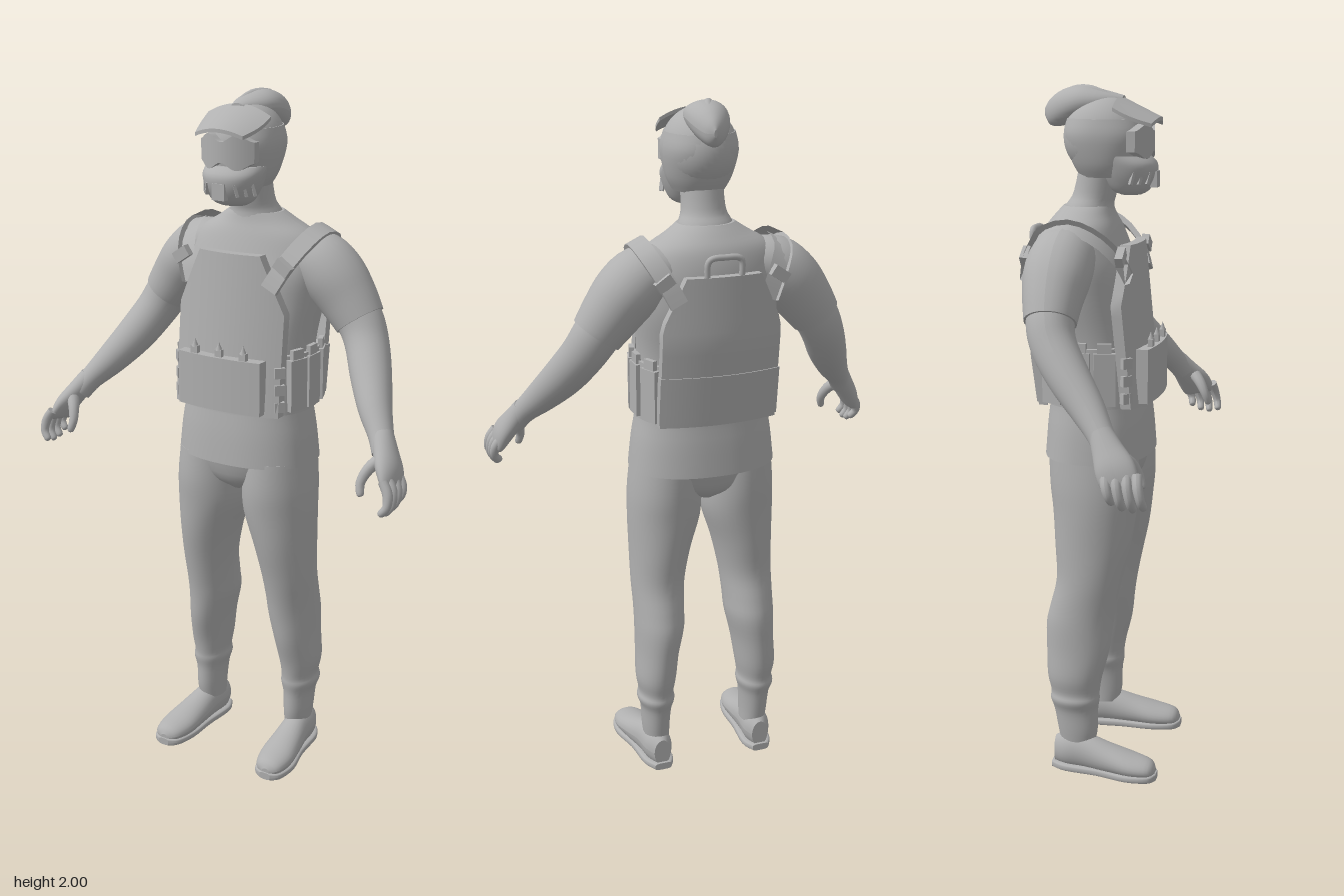
import * as THREE from 'three';

const gray = new THREE.MeshStandardMaterial({ color: 0xb0b0b0 });
gray.name = 'plain grey';
const V = (x, y, z) => new THREE.Vector3(x, y, z);
const UP = V(0, 1, 0), FWD = V(0, 0, 1);

// Smoothly lofts rows of [x, y, z, radiusU, radiusV, squareness]; x is mirrored by side
function loft(rows, { side = 1, ref = FWD, axis = null, seg = 28, steps = 4 } = {}) {
  const at = (i, k) => {
    const v = rows[Math.min(Math.max(i, 0), rows.length - 1)][k] ?? 2;
    return k === 0 ? v * side : v;
  };
  const rings = [];
  for (let s = 0; s <= (rows.length - 1) * steps; s++) {
    const i = Math.min(Math.floor(s / steps), rows.length - 2), f = s / steps - i;
    rings.push([0, 1, 2, 3, 4, 5].map((k) => {
      const a = at(i - 1, k), b = at(i, k), c = at(i + 1, k), d = at(i + 2, k);
      return b + 0.5 * f * (c - a + f * (2 * a - 5 * b + 4 * c - d + f * (3 * (b - c) + d - a)));
    }));
  }
  const pos = [], idx = [], n = seg + 1;
  const centre = (r) => V(r[0], r[1], r[2]);
  rings.forEach((r, i) => {
    const t = axis ? axis.clone() : centre(rings[Math.min(i + 1, rings.length - 1)])
      .sub(centre(rings[Math.max(i - 1, 0)])).normalize();
    const u = t.clone().cross(ref).normalize(), v = u.clone().cross(t);
    for (let j = 0; j < n; j++) {
      const a = (j % seg) / seg * Math.PI * 2, e = 2 / r[5];
      const c = Math.cos(a), q = Math.sin(a);
      const p = centre(r)
        .addScaledVector(u, Math.max(r[3], 0.001) * Math.sign(c) * Math.abs(c) ** e)
        .addScaledVector(v, Math.max(r[4], 0.001) * Math.sign(q) * Math.abs(q) ** e);
      pos.push(p.x, p.y, p.z);
    }
  });
  for (let i = 0; i < rings.length - 1; i++) for (let j = 0; j < seg; j++) {
    const a = i * n + j, b = a + 1, c = a + n, d = c + 1;
    idx.push(a, c, b, b, c, d);
  }
  // Flat end caps with their own vertices
  for (const i of [0, rings.length - 1]) {
    const base = pos.length / 3;
    pos.push(...rings[i].slice(0, 3));
    for (let j = 0; j < n; j++) pos.push(...pos.slice((i * n + j) * 3, (i * n + j) * 3 + 3));
    for (let j = 1; j <= seg; j++) i ? idx.push(base, base + j + 1, base + j) : idx.push(base, base + j, base + j + 1);
  }
  const g = new THREE.BufferGeometry();
  g.setAttribute('position', new THREE.Float32BufferAttribute(pos, 3));
  g.setIndex(idx);
  g.computeVertexNormals();
  return g;
}

// Bends a thin box by a rule from (u, v, depth), each in -0.5..0.5, to a point
function bent(rule) {
  const g = new THREE.BoxGeometry(1, 1, 1, 20, 14, 1), p = g.attributes.position;
  for (let i = 0; i < p.count; i++) p.setXYZ(i, ...rule(p.getX(i), p.getY(i), p.getZ(i)));
  g.computeVertexNormals();
  return g;
}

export function createModel() {
  const model = new THREE.Group();
  const add = (name, geo, parent = model) => {
    const m = new THREE.Mesh(geo, gray);
    m.name = name;
    parent.add(m);
    return m;
  };
  const box = (name, w, h, d, x, y, z, ry = 0) => {
    const m = add(name, new THREE.BoxGeometry(w, h, d));
    m.position.set(x, y, z);
    m.rotation.y = ry;
    return m;
  };

  // Shirt, neck and hips
  add('shirt', loft([[0, 0.96, -0.035, 0.215, 0.155, 2.3], [0, 1.05, -0.035, 0.205, 0.148, 2.3],
    [0, 1.15, -0.037, 0.19, 0.138, 2.3], [0, 1.3, -0.05, 0.19, 0.138, 2.3], [0, 1.42, -0.07, 0.205, 0.14, 2.3],
    [0, 1.5, -0.075, 0.212, 0.135, 2.2], [0, 1.56, -0.083, 0.21, 0.122], [0, 1.61, -0.085, 0.178, 0.105],
    [0, 1.645, -0.08, 0.12, 0.085], [0, 1.67, -0.072, 0.082, 0.07]], { axis: UP, seg: 48 }));
  add('neck', loft([[0, 1.62, -0.075, 0.1, 0.085], [0, 1.67, -0.068, 0.076, 0.068], [0, 1.71, -0.052, 0.062, 0.061],
    [0, 1.82, -0.03, 0.06, 0.06]], { axis: UP }));
  add('trouserHips', loft([[0, 0.86, -0.03, 0.03, 0.07], [0, 0.9, -0.03, 0.15, 0.115], [0, 0.98, -0.032, 0.2, 0.14]],
    { axis: UP, seg: 40 }));

  for (const side of [1, -1]) {
    const at = { side }, up = { side, axis: UP };
    // Trouser leg with loose folds towards the cuff
    add('trouserLeg', loft([[0.158, 0.085, -0.07, 0.038, 0.052], [0.16, 0.13, -0.07, 0.041, 0.06],
      [0.16, 0.19, -0.075, 0.045, 0.066], [0.161, 0.225, -0.078, 0.055, 0.074], [0.16, 0.25, -0.077, 0.051, 0.073],
      [0.16, 0.3, -0.078, 0.059, 0.082], [0.153, 0.38, -0.07, 0.063, 0.094], [0.144, 0.46, -0.066, 0.072, 0.1],
      [0.142, 0.52, -0.055, 0.074, 0.098], [0.139, 0.6, -0.038, 0.079, 0.097], [0.129, 0.7, -0.03, 0.09, 0.111],
      [0.115, 0.8, -0.027, 0.106, 0.122], [0.112, 0.88, -0.028, 0.107, 0.13], [0.11, 0.97, -0.032, 0.1, 0.13]], up));
    // Shoe and sole
    add('shoe', loft([[0.185, 0.026, 0.172, 0.012, 0.01], [0.184, 0.031, 0.155, 0.04, 0.025],
      [0.18, 0.037, 0.1, 0.054, 0.034], [0.174, 0.047, 0.03, 0.05, 0.044], [0.167, 0.058, -0.04, 0.043, 0.055],
      [0.162, 0.06, -0.1, 0.042, 0.056], [0.16, 0.055, -0.138, 0.026, 0.042]], { side, ref: UP, axis: V(0, 0, -1) }));
    add('sole', loft([[0.185, 0.012, 0.176, 0.018, 0.011, 4], [0.184, 0.012, 0.155, 0.045, 0.012, 4],
      [0.18, 0.012, 0.09, 0.057, 0.012, 4], [0.17, 0.012, 0, 0.047, 0.012, 4], [0.162, 0.012, -0.1, 0.046, 0.012, 4],
      [0.16, 0.012, -0.146, 0.026, 0.011, 4]], { side, ref: UP, axis: V(0, 0, -1) }));
    // Sleeve, bare arm and hand
    add('sleeve', loft([[0.12, 1.55, -0.095, 0.07, 0.08], [0.19, 1.535, -0.098, 0.088, 0.092],
      [0.24, 1.495, -0.1, 0.09, 0.094], [0.285, 1.44, -0.1, 0.083, 0.083], [0.325, 1.385, -0.096, 0.073, 0.072]], at));
    add('arm', loft([[0.27, 1.46, -0.1, 0.07, 0.07], [0.325, 1.385, -0.096, 0.067, 0.066], [0.36, 1.325, -0.075, 0.062, 0.063],
      [0.4, 1.255, -0.025, 0.058, 0.058], [0.447, 1.185, 0.037, 0.047, 0.048], [0.49, 1.13, 0.083, 0.035, 0.037],
      [0.515, 1.09, 0.11, 0.032, 0.036]], at));
    add('palm', loft([[0.495, 1.135, 0.085, 0.03, 0.032], [0.52, 1.095, 0.11, 0.03, 0.042],
      [0.545, 1.055, 0.135, 0.028, 0.053], [0.56, 1.02, 0.152, 0.018, 0.05], [0.562, 1.01, 0.155, 0.008, 0.035]], at));
    for (let f = 0; f < 4; f++) {
      const z = 0.112 + f * 0.028, long = [0.8, 1, 1.05, 0.95][f];
      add('finger', loft([[0.556, 1.045, z, 0.013, 0.014], [0.574, 1.015, z + 0.006, 0.014, 0.014],
        [0.577, 1.02 - 0.04 * long, z + 0.014, 0.012, 0.012], [0.562, 1.02 - 0.063 * long, z + 0.019, 0.01, 0.01],
        [0.558, 1.02 - 0.068 * long, z + 0.02, 0.003, 0.003]], { side, seg: 12 }));
    }
    add('thumb', loft([[0.525, 1.09, 0.135, 0.018, 0.02], [0.498, 1.06, 0.165, 0.016, 0.017],
      [0.485, 1.025, 0.185, 0.013, 0.013], [0.49, 0.995, 0.195, 0.01, 0.01], [0.491, 0.99, 0.196, 0.003, 0.003]],
      { side, seg: 12 }));

    // Shoulder strap running over the shoulder between the two plates
    const strapPath = new THREE.CatmullRomCurve3([[0.13, 1.48, 0.075], [0.16, 1.54, 0.05], [0.19, 1.6, -0.01], [0.203, 1.628, -0.085],
      [0.195, 1.605, -0.165], [0.165, 1.55, -0.205], [0.13, 1.48, -0.225]].map((p) => V(p[0] * side, p[1], p[2])));
    add('shoulderStrap', bent((u, v, d) => {
      const p = strapPath.getPoint(v + 0.5), t = strapPath.getTangent(v + 0.5);
      const w = V(side * 0.9, -0.43, 0).addScaledVector(t, -t.dot(V(side * 0.9, -0.43, 0))).normalize();
      const out = w.clone().cross(t).normalize().multiplyScalar(side);
      p.addScaledVector(w, u * 0.05 * side).addScaledVector(out, d * 0.016 * side);
      return [p.x, p.y, p.z];
    }));
    for (const [z, y] of [[0.06, 1.545], [-0.21, 1.54]]) {
      const b = box('strapBuckle', 0.05, 0.032, 0.022, side * 0.166, y, z);
      b.rotation.z = -side * 0.6;
    }
    // Side pouches with closures
    for (const [x, z, turn] of [[0.19, 0.02, 1.3], [0.198, -0.05, 1.57], [0.183, -0.13, 1.95]]) {
      box('sidePouch', 0.062, 0.15, 0.022, side * x, 1.205, z, side * turn);
      box('pouchFlap', 0.04, 0.035, 0.014, side * x, 1.29, z, side * turn);
    }
    for (const y of [1.15, 1.2, 1.25]) box('sideBuckle', 0.03, 0.03, 0.025, side * 0.165, y, 0.075, side * 0.8);
  }

  // Vest: waist band, tapered front and back plates
  add('waistBand', loft([[0, 1.12, -0.037, 0.2, 0.15, 2.5], [0, 1.2, -0.042, 0.199, 0.15, 2.5],
    [0, 1.29, -0.048, 0.199, 0.148, 2.5]], { axis: UP, seg: 48 }));
  const plateHalf = (y) => (y < 1.41 ? 0.172 : 0.172 - (y - 1.41) * 0.46);
  add('frontPlate', bent((u, v, d) => {
    const y = 1.345 + v * 0.45, x = 2 * u * plateHalf(y);
    return [x, y, 0.115 - (y - 1.12) * 0.1 - 1.3 * x * x + d * 0.03];
  }));
  add('backPlate', bent((u, v, d) => {
    const y = 1.335 + v * 0.43, x = 2 * u * plateHalf(y);
    return [x, y, -0.222 + Math.max(0, 1.37 - y) * 0.13 + 0.9 * x * x + d * 0.026];
  }));
  add('backLowerFlap', bent((u, v, d) => {
    const y = 1.2 + v * 0.14, x = u * 0.35;
    return [x, y, -0.213 + (1.27 - y) * 0.13 + 0.9 * x * x + d * 0.026];
  }));
  add('frontPouchPanel', bent((u, v, d) => {
    const x = u * 0.27;
    return [x, 1.207 + v * 0.155, 0.127 - 0.7 * x * x + d * 0.034];
  }));
  for (const x of [-0.08, 0, 0.08]) {
    box('pouchTab', 0.022, 0.025, 0.014, x, 1.293, 0.128);
    const tip = add('pouchTabTip', new THREE.ConeGeometry(0.01, 0.025, 8));
    tip.position.set(x, 1.315, 0.128);
  }
  const handle = new THREE.CatmullRomCurve3([V(-0.05, 1.54, -0.222), V(-0.045, 1.595, -0.226), V(0, 1.602, -0.228),
    V(0.045, 1.595, -0.226), V(0.05, 1.54, -0.222)]);
  add('carryHandle', new THREE.TubeGeometry(handle, 28, 0.009, 8));

  // Helmet shell, jaw guard and goggles
  const shell = add('helmetShell', new THREE.SphereGeometry(1, 40, 28));
  shell.scale.set(0.104, 0.115, 0.12);
  shell.position.set(0, 1.86, -0.022);
  add('helmetSides', loft([[0, 1.75, -0.01, 0.072, 0.085], [0, 1.79, -0.015, 0.092, 0.103], [0, 1.86, -0.02, 0.105, 0.118, 2.2],
    [0, 1.91, -0.022, 0.097, 0.11]], { axis: UP, seg: 36 }));
  add('jawGuard', loft([[0, 1.702, 0.052, 0.04, 0.03], [0, 1.715, 0.05, 0.06, 0.053, 2.2], [0, 1.75, 0.048, 0.078, 0.074, 2.2],
    [0, 1.785, 0.042, 0.088, 0.083, 2.2], [0, 1.81, 0.02, 0.09, 0.085]], { axis: UP, seg: 36 }));
  add('goggles', bent((u, v, d) => {
    const x = u * 0.17;
    return [x, 1.85 + v * (0.075 - 0.02 * Math.cos(u * 12)), 0.104 - 5 * x * x + d * 0.024];
  }));
  box('mouthVent', 0.04, 0.045, 0.02, 0, 1.745, 0.119);
  for (const side of [1, -1]) for (let i = 0; i < 3; i++) {
    const slat = box('jawSlat', 0.008, 0.035, 0.012, side * (0.045 + i * 0.016), 1.75, 0.11 - i * 0.02, side * 0.8);
    slat.rotation.z = side * 0.3;
  }
  // Peak and swept crest
  add('helmetPeak', bent((u, v, d) => {
    const f = v + 0.5, x = u * (0.2 - 0.05 * f * f);
    return [x, 1.965 - 0.055 * f - 2.8 * x * x + d * 0.01, 0.02 + 0.115 * f - 2 * x * x * f];
  }).scale(1, 1, 1));
  const peak = model.children[model.children.length - 1].geometry.index.array;
  for (let i = 0; i < peak.length; i += 3) [peak[i], peak[i + 1]] = [peak[i + 1], peak[i]];
  model.children[model.children.length - 1].geometry.computeVertexNormals();
  add('helmetCrest', loft([[0, 1.962, 0.03, 0.02, 0.01], [0, 1.955, -0.03, 0.05, 0.033], [0.003, 1.952, -0.09, 0.06, 0.047],
    [0.008, 1.938, -0.145, 0.05, 0.05], [0.015, 1.925, -0.185, 0.028, 0.037], [0.02, 1.925, -0.204, 0.004, 0.01]],
    { ref: UP, axis: V(0, 0, -1) }));
  add('crestRidge', loft([[-0.02, 1.97, 0, 0.006, 0.006], [-0.01, 1.985, -0.06, 0.013, 0.014],
    [0.01, 1.983, -0.12, 0.014, 0.014], [0.02, 1.955, -0.18, 0.006, 0.008]], { ref: UP, axis: V(0, 0, -1), seg: 14 }));
  return model;
}
